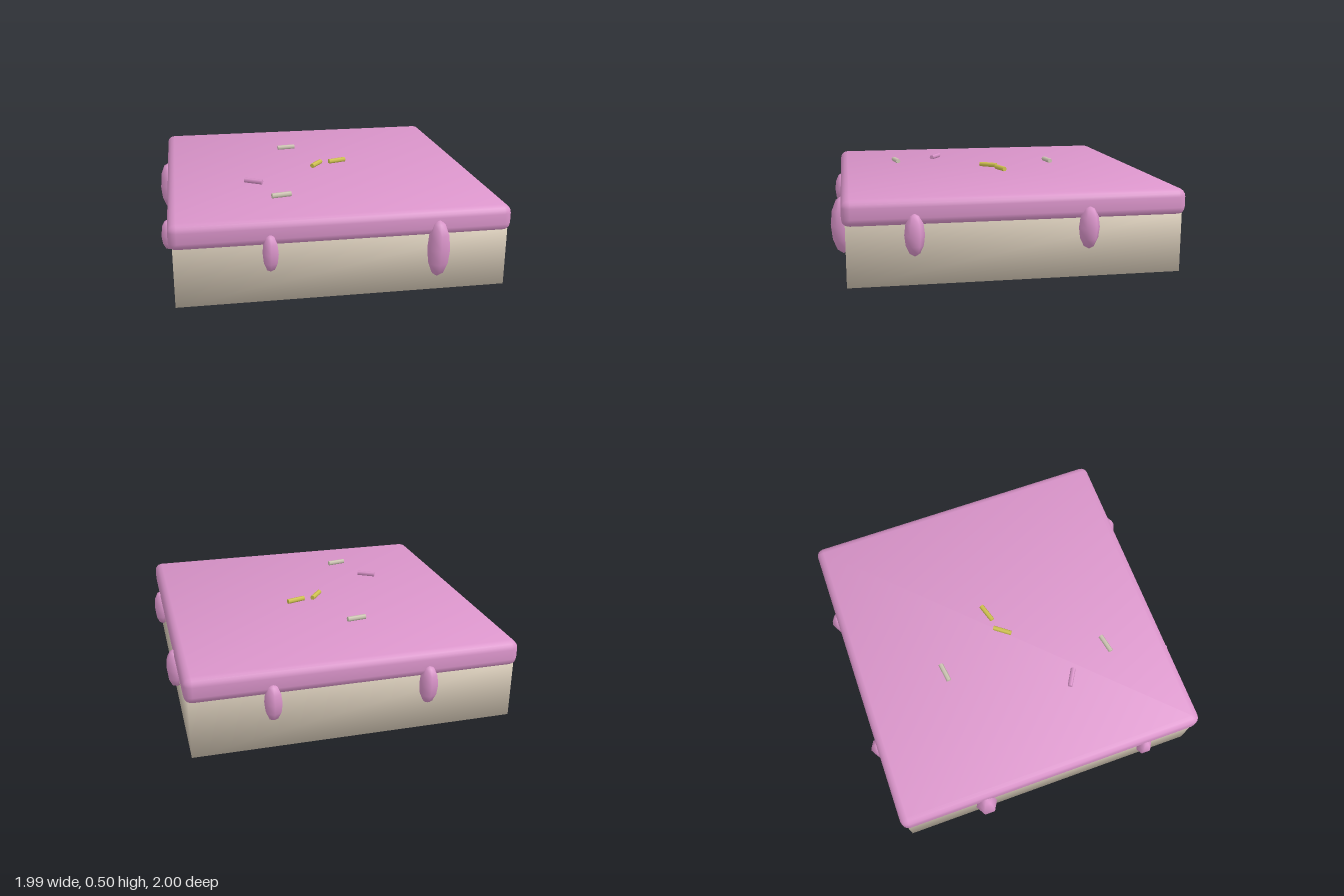
import * as THREE from 'three';
import { RoundedBoxGeometry } from 'three/addons/geometries/RoundedBoxGeometry.js';

const material = (name, color) => {
  const m = new THREE.MeshStandardMaterial({ color });
  m.name = name;
  return m;
};

// Lean the normals of a box-like geometry towards its corners for soft shading.
function soften(geo, half, amount) {
  const p = geo.attributes.position, n = geo.attributes.normal;
  const v = new THREE.Vector3(), d = new THREE.Vector3();
  for (let i = 0; i < p.count; i++) {
    d.fromBufferAttribute(p, i).divide(half);
    v.fromBufferAttribute(n, i).multiplyScalar(1 - amount).addScaledVector(d, amount).normalize();
    n.setXYZ(i, v.x, v.y, v.z);
  }
  return geo;
}

export function createModel() {
  const sponge = material('sponge', 0xd2c6b4);
  const icing = material('pink icing', 0xdb95cb);
  const yellow = material('yellow sprinkle', 0xd2c452);
  const cream = material('cream sprinkle', 0xd0c8b6);

  const model = new THREE.Group();
  model.name = 'cake';
  const add = (name, geo, mat, x, y, z, parent = model) => {
    const mesh = new THREE.Mesh(geo, mat);
    mesh.name = name;
    mesh.position.set(x, y, z);
    parent.add(mesh);
    return mesh;
  };
  const group = (name) => {
    const g = new THREE.Group();
    g.name = name;
    model.add(g);
    return g;
  };

  // Sponge slab
  const base = soften(new THREE.BoxGeometry(1.846, 0.335, 1.846),
    new THREE.Vector3(0.923, 0.1675, 0.923), 1);
  add('spongeBase', base, sponge, 0.003, 0.1675, -0.006);

  // Icing sheet with rounded edges
  const sheet = soften(new RoundedBoxGeometry(1.887, 0.149, 1.887, 2, 0.045),
    new THREE.Vector3(0.9435, 0.0745, 0.9435), 0.22);
  add('icingSheet', sheet, icing, 0.003, 0.3985, -0.008);

  // Icing drips: x, z, bottom, top, radius
  const drips = group('icingDrips');
  const drop = new THREE.SphereGeometry(1, 6, 6).rotateY(Math.PI / 2);
  [
    [-0.405, 0.93, 0.18, 0.395, 0.048],
    [0.525, 0.93, 0.085, 0.42, 0.067],
    [0.94, 0.558, 0.16, 0.395, 0.055],
    [0.94, -0.393, 0.16, 0.4, 0.059],
    [-0.4, -0.944, 0.16, 0.395, 0.055],
    [0.48, -0.944, 0.175, 0.395, 0.053],
    [-0.94, -0.437, 0.095, 0.41, 0.066],
    [-0.938, 0.588, 0.205, 0.385, 0.048],
  ].forEach(([x, z, low, high, r]) => {
    add('drip', drop, icing, x, (low + high) / 2, z, drips).scale.set(r, (high - low) / 2, r);
  });

  // Sprinkles: x, z, turn, colour
  const sprinkles = group('sprinkles');
  const rod = new THREE.CylinderGeometry(0.015, 0.015, 0.115, 6).rotateZ(Math.PI / 2);
  [
    [-0.14, -0.423, 0.14, cream],
    [0, 0, 0.92, yellow],
    [0.143, -0.052, 0.3, yellow],
    [-0.43, 0.295, -0.54, icing],
    [-0.297, 0.573, 0.2, cream],
  ].forEach(([x, z, turn, mat]) => {
    add('sprinkle', rod, mat, x, 0.489, z, sprinkles).rotation.y = turn;
  });

  return model;
}
